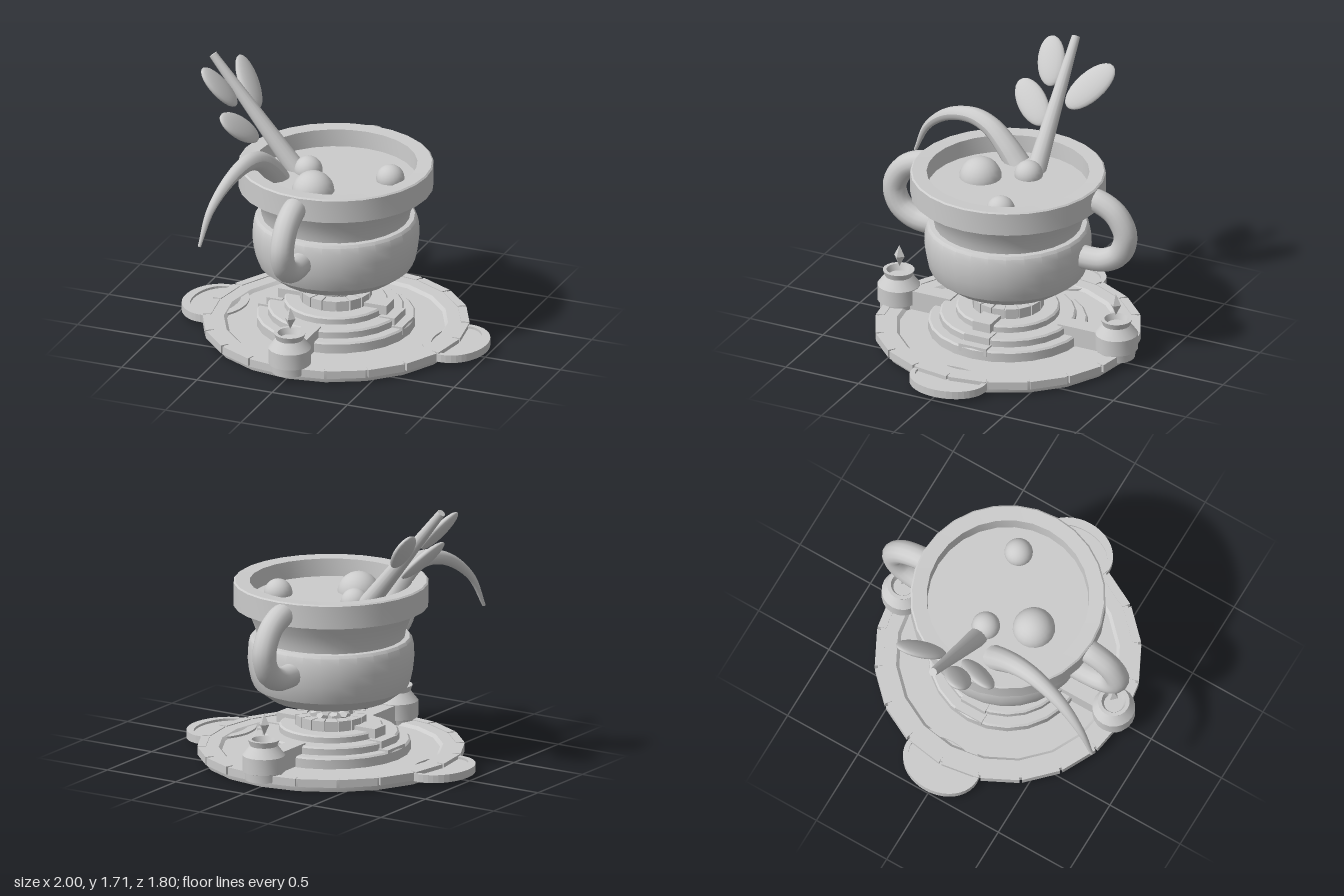
import * as THREE from 'three';
import { toCreasedNormals } from 'three/addons/utils/BufferGeometryUtils.js';

const V = (x, y, z) => new THREE.Vector3(x, y, z);

export function createModel() {
  const model = new THREE.Group();
  const body = new THREE.Group(); // everything round shares one axis
  body.position.z = -0.02;
  model.add(body);
  const mat = new THREE.MeshStandardMaterial({ color: 0xcccccc });
  const thin = new THREE.MeshStandardMaterial({ color: 0xcccccc, side: THREE.DoubleSide });

  function add(parent, name, geo, x = 0, y = 0, z = 0, material = mat) {
    const m = new THREE.Mesh(geo, material);
    m.name = name;
    m.position.set(x, y, z);
    parent.add(m);
    return m;
  }
  const lathe = (pts, sides) => toCreasedNormals(
    new THREE.LatheGeometry(pts.map(p => new THREE.Vector2(p[0], p[1])), sides), 0.45);
  const box = (name, w, h, d, x, y, z) => add(body, name, new THREE.BoxGeometry(w, h, d), x, y, z);

  // Ring of wedge blocks with gaps between them
  function blockRing(name, n, r0, r1, gap, y, h) {
    const ring = new THREE.Group();
    ring.name = name;
    const a = Math.PI / n;
    const p = (r, s) => [r * Math.cos(a), s * (r * Math.sin(a) - gap / 2)];
    const shape = new THREE.Shape();
    shape.moveTo(...p(r0, -1));
    shape.lineTo(...p(r1, -1));
    shape.lineTo(...p(r1, 1));
    shape.lineTo(...p(r0, 1));
    const geo = new THREE.ExtrudeGeometry(shape, { depth: h, bevelEnabled: false });
    geo.rotateX(-Math.PI / 2);
    for (let i = 0; i < n; i++) add(ring, 'block', geo, 0, y, 0).rotation.y = (2 * i + 1) * a;
    body.add(ring);
  }

  // Base plate with a raised border, notched around its edge
  add(body, 'basePlate', lathe([[0, 0], [0.79, 0], [0.802, 0.035], [0.802, 0.08], [0.69, 0.08],
    [0.67, 0.062], [0, 0.062]], 20));
  blockRing('borderBlocks', 20, 0.77, 0.822, 0.018, 0.035, 0.05);

  // Stepped dais: stacked discs with bevelled edges
  [[0.49, 0.03, 0.13], [0.42, 0.125, 0.18], [0.32, 0.175, 0.225]].forEach(([r, y0, y1]) =>
    add(body, 'daisStep', lathe([[0, y0], [r, y0], [r, y1 - 0.01], [r - 0.012, y1], [0, y1]], 24)));

  // Brazier: brick ring and coals
  blockRing('brazierBricks', 16, 0.15, 0.222, 0.008, 0.22, 0.07);
  add(body, 'brazierBed', new THREE.CylinderGeometry(0.205, 0.205, 0.055, 20), 0, 0.25, 0);
  const coalGeo = new THREE.DodecahedronGeometry(0.042);
  for (let i = 0; i < 9; i++) {
    const r = i ? 0.095 : 0;
    const coal = add(body, 'coal', coalGeo, r * Math.cos(i * 0.785), 0.286, r * Math.sin(i * 0.785));
    coal.rotation.y = i * 1.3;
    coal.scale.set(1.1, 0.75, 1);
  }

  // Side tabs with a raised lip, and little stairs
  function ellipse(rx, rz) {
    const path = new THREE.Path();
    path.absellipse(0, 0, rx, rz, 0, Math.PI * 2);
    return path;
  }
  const outline = ellipse(0.2, 0.25).getPoints(20);
  const tabShape = new THREE.Shape(outline);
  const lipShape = new THREE.Shape(outline);
  lipShape.holes.push(ellipse(0.145, 0.22));
  const slab = (shape, depth) => new THREE.ExtrudeGeometry(shape,
    { depth, bevelEnabled: false, curveSegments: 20 }).rotateX(-Math.PI / 2);
  for (const s of [-1, 1]) {
    add(body, 'sideTab', slab(tabShape, 0.035), s * 0.8, 0.025, 0);
    add(body, 'sideTabLip', slab(lipShape, 0.05), s * 0.8, 0.025, 0);
    box('upperStair', 0.17, 0.06, 0.12, s * 0.275, 0.22, 0);
    box('middleStair', 0.1, 0.06, 0.17, s * 0.375, 0.158, 0);
    box('lowerStair', 0.1, 0.05, 0.19, s * 0.43, 0.117, 0);
  }

  // Lamps front and back, each joined to the dais by a bridge
  const lampGeo = lathe([[0, 0.04], [0.115, 0.04], [0.118, 0.09], [0.132, 0.095], [0.132, 0.195],
    [0.085, 0.255], [0.098, 0.293], [0.075, 0.293], [0.06, 0.255], [0, 0.255]], 20);
  const crystalGeo = new THREE.OctahedronGeometry(1).scale(0.036, 0.072, 0.036);
  for (const s of [-1, 1]) {
    add(body, 'lamp', lampGeo, 0.005, 0, s * 0.75);
    add(body, 'flameCrystal', crystalGeo, 0.005, 0.387, s * 0.745);
    box('lampBridge', 0.11, 0.125, 0.32, 0, 0.128, s * 0.53);
  }

  // Cauldron with a broad rim, and its contents
  add(body, 'cauldron', lathe([[0, 0.4], [0.378, 0.4], [0.473, 0.47], [0.492, 0.515], [0.506, 0.58],
    [0.514, 0.65], [0.51, 0.72], [0.499, 0.765], [0.485, 0.782], [0.455, 0.785], [0.463, 0.83],
    [0.49, 0.9], [0.533, 0.978], [0.6, 0.983], [0.6, 1.127], [0.59, 1.135], [0.5, 1.13],
    [0.495, 1.01]], 28));
  add(body, 'broth', new THREE.CircleGeometry(0.5, 28).rotateX(-Math.PI / 2), 0, 1.02, 0);
  [[-0.06, 0.2, 0.132, 1.012], [-0.2, -0.06, 0.088, 1.03], [0.315, -0.13, 0.088, 1.03]].forEach(
    ([x, z, r, y]) => add(model, 'bubble', new THREE.SphereGeometry(r, 20, 14), x, y, z));

  // Looped handles
  for (const s of [-1, 1]) {
    const curve = new THREE.CatmullRomCurve3([[1.052, 0.54], [1.043, 0.62], [0.98, 0.73],
      [0.85, 0.795], [0.725, 0.757], [0.66, 0.66], [0.645, 0.55], [0.65, 0.46]]
      .map(([y, z]) => V(-0.028, y, s * z)));
    add(body, 'handle', new THREE.TubeGeometry(curve, 28, 0.074, 14));
  }

  // Twig leaning over the rim
  const foot = V(-0.27, 1.0, -0.068), tip = V(-0.835, 1.695, -0.062);
  const along = tip.clone().sub(foot).normalize();
  const mid = foot.clone().lerp(tip, 0.5);
  add(model, 'twig', new THREE.CylinderGeometry(0.026, 0.062, foot.distanceTo(tip), 14),
    mid.x, mid.y, mid.z).quaternion.setFromUnitVectors(V(0, 1, 0), along);

  // Oval leaves beside the twig: position, half length, half width, turn
  [[-0.742, 1.54, 0.06, 0.162, 0.09, 0.29], [-0.672, 1.463, -0.243, 0.192, 0.098, -0.62],
    [-0.587, 1.315, 0.112, 0.172, 0.094, 0.78]].forEach(([x, y, z, len, wid, turn]) => {
    const u = V(along.x, along.y, 0).normalize().multiplyScalar(Math.cos(turn)).add(V(0, 0, Math.sin(turn)));
    const n = V(-along.y, along.x, 0).normalize();
    const leaf = add(model, 'leaf', new THREE.SphereGeometry(1, 18, 12).scale(wid, len, 0.034), x, y, z);
    leaf.quaternion.setFromRotationMatrix(new THREE.Matrix4().makeBasis(u.clone().cross(n), u, n));
  });

  // Tapering tentacle hanging over the rim
  const path = new THREE.CatmullRomCurve3([V(-0.345, 1.0, 0.085), V(-0.358, 1.1, 0.17),
    V(-0.38, 1.195, 0.285), V(-0.405, 1.232, 0.42), V(-0.45, 1.18, 0.62), V(-0.5, 1.04, 0.79),
    V(-0.53, 0.84, 0.888)]);
  const rings = 32, sides = 12;
  const tube = new THREE.TubeGeometry(path, rings, 0.08, sides);
  const pos = tube.attributes.position, v = new THREE.Vector3();
  for (let i = 0; i < pos.count; i++) {
    const t = Math.floor(i / (sides + 1)) / rings;
    const c = path.getPointAt(t);
    v.fromBufferAttribute(pos, i).sub(c).multiplyScalar(1 - 0.87 * t).add(c);
    pos.setXYZ(i, v.x, v.y, v.z);
  }
  tube.computeVertexNormals();
  add(model, 'tentacle', tube, 0, 0, 0, thin);

  return model;
}
